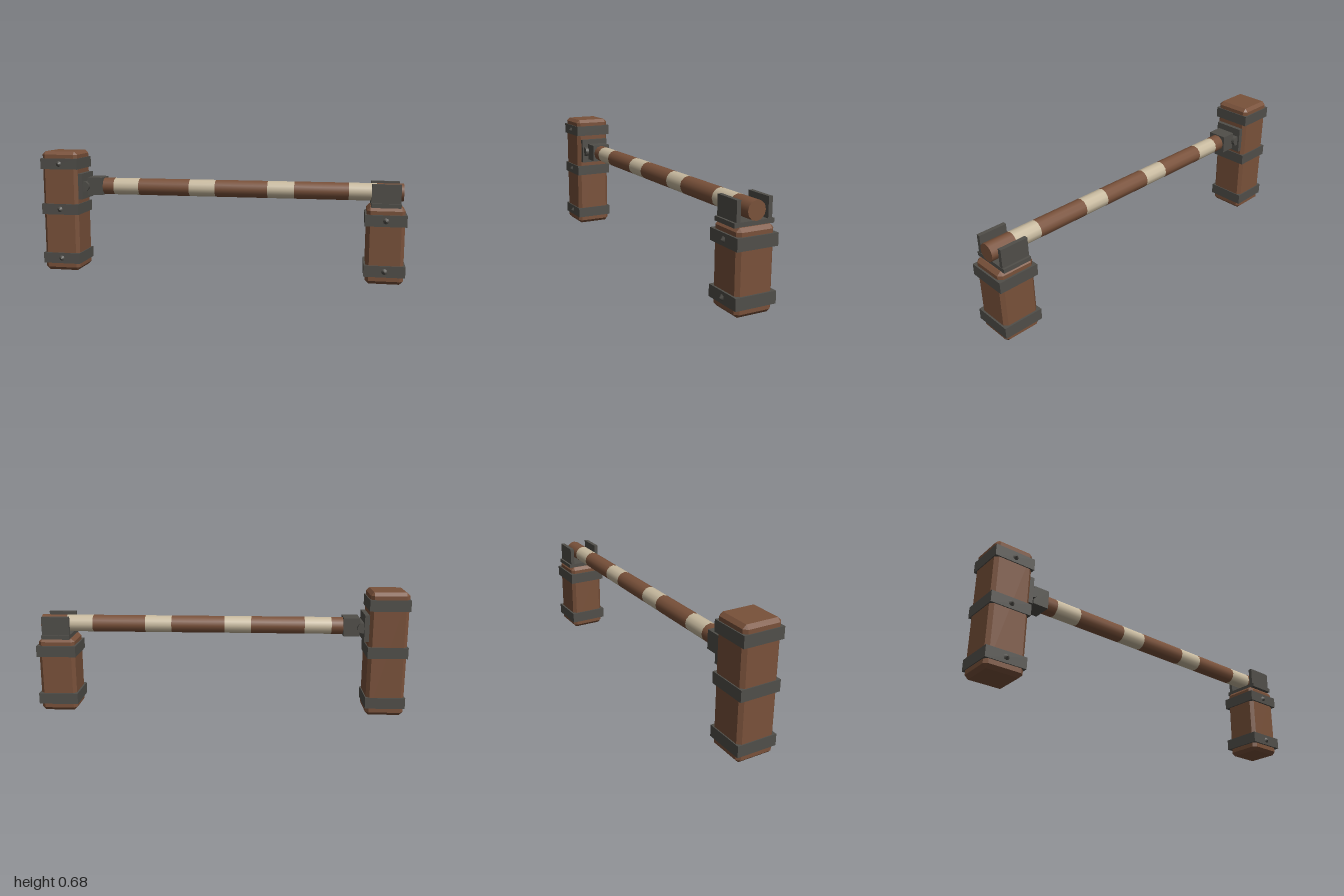
import * as THREE from 'three';
import { ConvexGeometry } from 'three/addons/geometries/ConvexGeometry.js';

const CZ = -0.005; // depth of the shared centre line
const BAR_Y = 0.478;

export function createModel() {
  const model = new THREE.Group();
  model.name = 'barrierGate';

  const material = (name, color) => {
    const m = new THREE.MeshStandardMaterial({ color });
    m.name = name;
    return m;
  };
  const wood = material('brown wood', 0x79513a);
  const iron = material('dark iron', 0x504e49);
  const cream = material('cream paint', 0xc8ba9f);

  const add = (parent, name, geometry, mat, x = 0, y = 0, z = 0) => {
    const mesh = new THREE.Mesh(geometry, mat);
    mesh.name = name;
    mesh.position.set(x, y, z);
    parent.add(mesh);
    return mesh;
  };
  const box = (parent, name, w, h, d, x, y, z) =>
    add(parent, name, new THREE.BoxGeometry(w, h, d), iron, x, y, z);

  // Square timber with all of its edges chamfered
  const timber = (half, height, c) => {
    const points = [];
    for (const sx of [-1, 1]) for (const sz of [-1, 1]) {
      const i = half - c;
      for (const y of [c, height - c]) {
        points.push(new THREE.Vector3(sx * half, y, sz * i));
        points.push(new THREE.Vector3(sx * i, y, sz * half));
      }
      for (const y of [0, height]) points.push(new THREE.Vector3(sx * i, y, sz * i));
    }
    return new ConvexGeometry(points);
  };

  // Post with iron bands and a pointed stud on the front of each
  const post = (name, x, height, half, bands) => {
    const group = new THREE.Group();
    group.name = name;
    group.position.set(x, 0, CZ);
    model.add(group);
    add(group, 'timber', timber(half, height, 0.018), wood);
    for (const y of bands) {
      box(group, 'band', 0.214, 0.06, 0.216, 0, y, 0);
      const cone = new THREE.ConeGeometry(0.016, 0.014, 8);
      cone.rotateX(Math.PI / 2);
      add(group, 'stud', cone, iron, 0, y, 0.115);
    }
  };
  post('tallPost', -0.893, 0.676, 0.102, [0.072, 0.352, 0.607]);
  post('shortPost', 0.892, 0.408, 0.098, [0.072, 0.34]);

  // Hinge on the tall post: wall plate, pin and bar socket
  const hinge = new THREE.Group();
  hinge.name = 'hinge';
  model.add(hinge);
  box(hinge, 'hingePlate', 0.03, 0.144, 0.167, -0.782, 0.48, -0.007);
  const pin = new THREE.CylinderGeometry(0.028, 0.028, 0.146, 12);
  pin.rotateX(Math.PI / 2);
  add(hinge, 'hingePin', pin, iron, -0.76, 0.479, -0.006);
  box(hinge, 'barSocket', 0.085, 0.098, 0.108, -0.703, 0.48, -0.006);

  // Open cradle on the short post
  const cradle = new THREE.Group();
  cradle.name = 'cradle';
  model.add(cradle);
  box(cradle, 'cradleBase', 0.152, 0.022, 0.21, 0.891, 0.418, -0.006);
  for (const side of [-1, 1]) {
    box(cradle, 'cradleCheek', 0.149, 0.102, 0.021, 0.891, 0.477, -0.006 + side * 0.083);
  }

  // Striped bar: alternating tubes, with a closed end on the last one
  const bar = new THREE.Group();
  bar.name = 'bar';
  bar.position.set(0, BAR_Y, CZ);
  model.add(bar);
  const stops = [-0.67, -0.598, -0.454, -0.166, -0.021, 0.267, 0.411, 0.699, 0.843, 0.982];
  const R = 0.047;
  for (let i = 0; i < stops.length - 1; i++) {
    const a = stops[i], b = stops[i + 1];
    const tube = new THREE.CylinderGeometry(R, R, b - a, 12, 1, true);
    tube.rotateZ(-Math.PI / 2);
    add(bar, i % 2 ? 'creamStripe' : 'woodStripe', tube, i % 2 ? cream : wood, (a + b) / 2);
  }
  const cap = new THREE.CircleGeometry(R, 12);
  cap.rotateY(Math.PI / 2);
  add(bar, 'barEnd', cap, wood, 0.982);

  return model;
}
